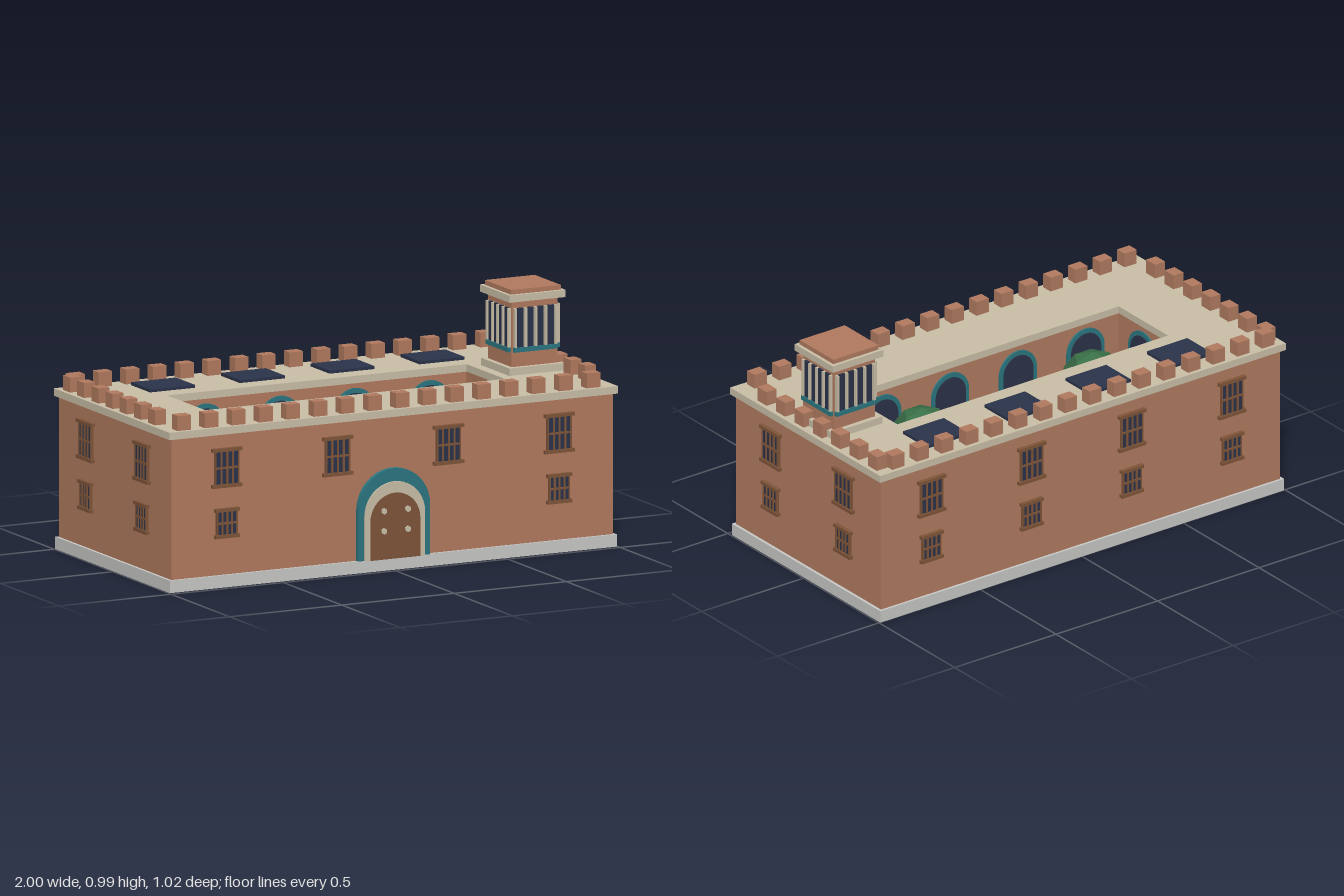
import * as THREE from 'three';

const mat = (name, color, flat = false) => {
  const m = new THREE.MeshStandardMaterial({ color, flatShading: flat });
  m.name = name;
  return m;
};

export function createModel() {
  const M = {
    brick: mat('brick', 0xb27b60),
    stone: mat('sandstone', 0xcabfa8),
    grey: mat('grey stone', 0xc8c8c6),
    navy: mat('dark glass', 0x2b334a),
    teal: mat('teal tile', 0x2c7680),
    wood: mat('wood', 0x7f5539),
    lawn: mat('lawn green', 0x4f8f5c),
    leaf: mat('leaf green', 0x3a7048, true),
    water: mat('water blue', 0x3a86a8),
  };
  const root = new THREE.Group();
  root.name = 'courtyardPalace';
  const body = new THREE.Group();
  body.name = 'building';
  body.position.z = -0.011;
  root.add(body);

  const add = (parent, name, geo, m, x = 0, y = 0, z = 0) => {
    const mesh = new THREE.Mesh(geo, m);
    mesh.name = name;
    mesh.position.set(x, y, z);
    parent.add(mesh);
    return mesh;
  };
  // box given by its centre in x and z and its bottom and top
  const box = (parent, name, m, w, y0, y1, d, x = 0, z = 0) =>
    add(parent, name, new THREE.BoxGeometry(w, y1 - y0, d), m, x, (y0 + y1) / 2, z);
  const cyl = (parent, name, m, r0, r1, y0, y1, x = 0, z = 0, n = 8) =>
    add(parent, name, new THREE.CylinderGeometry(r1, r0, y1 - y0, n), m, x, (y0 + y1) / 2, z);
  const group = (parent, name, x, z, turn = 0) => {
    const g = new THREE.Group();
    g.name = name;
    g.position.set(x, 0, z);
    g.rotation.y = turn;
    parent.add(g);
    return g;
  };

  // rectangular ring around the courtyard
  const HX = 0.667, HZ = 0.163, WX = 0.983, WZ = 0.48;
  const rect = (C, a, b) => new C([[-a, -b], [a, -b], [a, b], [-a, b]].map(p => new THREE.Vector2(...p)));
  const ring = (name, m, a, b, y0, y1, inset) => {
    const s = rect(THREE.Shape, a, b);
    s.holes.push(rect(THREE.Path, HX - inset, HZ - inset));
    const g = new THREE.ExtrudeGeometry(s, { depth: y1 - y0, bevelEnabled: false });
    g.rotateX(-Math.PI / 2);
    add(body, name, g, m, 0, y0, 0);
  };
  box(body, 'plinth', M.grey, 1.99, 0, 0.05, 0.982);
  ring('walls', M.brick, WX, WZ, 0.05, 0.618, 0);
  ring('roofCornice', M.stone, 0.999, 0.496, 0.618, 0.648, 0);

  // battlements
  for (let i = 0; i < 16; i++)
    for (const z of [-0.455, 0.455])
      box(body, 'merlon', M.brick, 0.06, 0.648, 0.708, 0.049, -0.925 + i * 0.1215, z);
  for (let i = 0; i < 7; i++)
    for (const x of [-0.957, 0.957])
      box(body, 'merlon', M.brick, 0.049, 0.648, 0.708, 0.06, x, -0.421 + i * 0.1215);

  // dark panels on the rear roof
  for (const x of [-0.6, -0.2, 0.2, 0.6])
    box(body, 'roofPanel', M.navy, 0.2, 0.648, 0.66, 0.163, x, -0.328);

  // barred windows
  const window = (x, z, turn, upper) => {
    const [w, y0, y1, ledge] = upper ? [0.102, 0.41, 0.555, 0.132] : [0.086, 0.206, 0.312, 0.108];
    const g = group(body, upper ? 'upperWindow' : 'lowerWindow', x, z, turn);
    box(g, 'glass', M.navy, w, y0, y1, 0.009, 0, 0.0045);
    for (const y of [y0, y1]) box(g, 'ledge', M.wood, ledge, y - 0.007, y + 0.007, 0.017, 0, 0.0085);
    for (const k of [-0.25, 0, 0.25]) box(g, 'bar', M.wood, 0.007, y0, y1, 0.014, k * w, 0.007);
    for (const k of [-0.5, 0.5]) box(g, 'jamb', M.wood, 0.005, y0, y1, 0.014, k * w, 0.007);
    const ym = (y0 + y1) / 2;
    box(g, 'crossBar', M.wood, w, ym - 0.004, ym + 0.004, 0.014, 0, 0.007);
  };
  for (const x of [-0.74, -0.247, 0.247, 0.74]) {
    window(x, WZ, 0, true);
    if (Math.abs(x) > 0.5) window(x, WZ, 0, false);
    for (const up of [true, false]) window(x, -WZ, Math.PI, up);
  }
  for (const s of [-1, 1])
    for (const z of [-0.24, 0.24])
      for (const up of [true, false]) window(s * WX, z, s * Math.PI / 2, up);

  // round-headed plate standing on y0, its arc centred at yc
  const arch = (parent, name, m, r, y0, yc, depth) => {
    const s = new THREE.Shape();
    s.moveTo(-r, y0);
    s.lineTo(r, y0);
    s.lineTo(r, yc);
    s.absarc(0, yc, r, 0, Math.PI, false);
    add(parent, name, new THREE.ExtrudeGeometry(s, { depth, bevelEnabled: false, curveSegments: 10 }), m);
  };

  // main entrance
  const gate = group(body, 'entrance', 0, WZ);
  arch(gate, 'tileSurround', M.teal, 0.16, 0.05, 0.252, 0.019);
  arch(gate, 'stoneSurround', M.stone, 0.134, 0.05, 0.226, 0.026);
  arch(gate, 'door', M.wood, 0.11, 0.05, 0.205, 0.031);
  for (const x of [-0.053, 0.053])
    for (const y of [0.165, 0.246]) {
      const stud = add(gate, 'doorStud', new THREE.CylinderGeometry(0.013, 0.013, 0.016, 6), M.stone, x, y, 0.031);
      stud.rotation.x = Math.PI / 2;
    }

  // courtyard arches
  const courtArch = (x, z, turn) => {
    const g = group(body, 'courtyardArch', x, z, turn);
    arch(g, 'archSurround', M.teal, 0.092, 0.05, 0.508, 0.007);
    arch(g, 'archOpening', M.navy, 0.073, 0.05, 0.508, 0.011);
  };
  for (const x of [-0.5, -0.167, 0.167, 0.5]) {
    courtArch(x, -HZ, 0);
    courtArch(x, HZ, Math.PI);
  }
  courtArch(-HX, 0, Math.PI / 2);
  courtArch(HX, 0, -Math.PI / 2);

  // garden
  box(body, 'lawn', M.lawn, 1.19, 0.05, 0.058, 0.172);
  for (const x of [-0.582, 0.582])
    for (const z of [-0.075, 0.075]) box(body, 'gardenPost', M.grey, 0.022, 0.05, 0.12, 0.022, x, z);
  for (const x of [-0.42, 0.42]) {
    const tree = group(body, 'tree', x, 0);
    cyl(tree, 'trunk', M.wood, 0.025, 0.018, 0.05, 0.38, 0, 0, 6);
    add(tree, 'crown', new THREE.SphereGeometry(0.135, 6, 5), M.leaf, 0, 0.45, 0);
  }
  const shrub = (x, z) => {
    const g = group(body, 'pottedShrub', x, z);
    cyl(g, 'pot', M.brick, 0.018, 0.025, 0.05, 0.09, 0, 0, 6);
    add(g, 'foliage', new THREE.SphereGeometry(0.036, 6, 5), M.leaf, 0, 0.115, 0);
  };
  for (const x of [-0.57, -0.342, -0.113, 0.113, 0.342, 0.57])
    for (const z of [-0.131, 0.131]) shrub(x, z);
  for (const x of [-0.633, 0.633]) shrub(x, 0);

  // fountain
  const fountain = group(body, 'fountain', 0, 0, Math.PI / 8);
  cyl(fountain, 'basin', M.grey, 0.092, 0.092, 0.05, 0.09);
  cyl(fountain, 'tileRim', M.teal, 0.086, 0.086, 0.09, 0.096);
  cyl(fountain, 'water', M.water, 0.077, 0.077, 0.096, 0.1);
  cyl(fountain, 'pedestal', M.grey, 0.022, 0.016, 0.1, 0.16);
  cyl(fountain, 'bowl', M.grey, 0.02, 0.056, 0.16, 0.185);
  cyl(fountain, 'spout', M.grey, 0.016, 0.01, 0.185, 0.22);

  // bell tower
  const tower = group(body, 'tower', 0.832, 0);
  box(tower, 'towerFoot', M.stone, 0.246, 0.648, 0.678, 0.242);
  box(tower, 'towerShaft', M.brick, 0.204, 0.678, 0.944, 0.202);
  box(tower, 'towerCornice', M.stone, 0.25, 0.944, 0.973, 0.252);
  box(tower, 'towerCap', M.brick, 0.222, 0.973, 0.992, 0.223);
  for (let f = 0; f < 4; f++) {
    const side = group(tower, 'towerSide', 0, 0, f * Math.PI / 2);
    box(side, 'tileBand', M.teal, 0.194, 0.738, 0.757, 0.016, 0, 0.108);
    for (const x of [-0.0675, -0.0225, 0.0225, 0.0675])
      box(side, 'towerOpening', M.navy, 0.026, 0.757, 0.915, 0.009, x, 0.106);
    for (const x of [-0.09, -0.045, 0, 0.045, 0.09])
      box(side, 'column', M.stone, 0.009, 0.757, 0.915, 0.016, x, 0.108);
  }
  return root;
}
